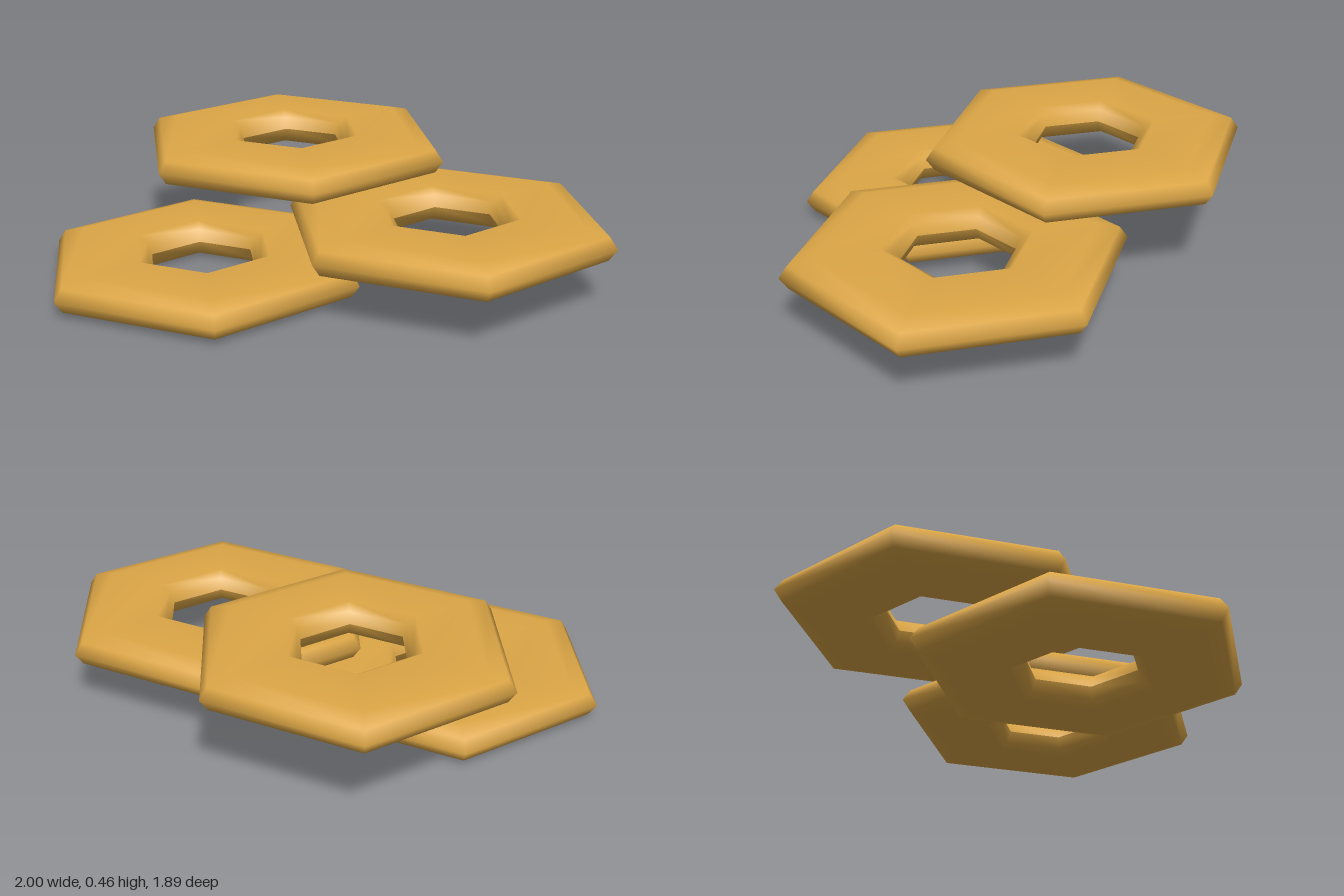
import * as THREE from 'three';

// Closed cross-section of one ring: [radius to the flat side, height]
const H = 0.068;
const upper = [[0.55, 0], [0.523, 0.045], [0.45, H], [0.24, H], [0.205, 0.045], [0.19, 0]];
const lower = upper.slice(1, -1).reverse().map(([r, y]) => [r, -y]);

function hexRingGeometry() {
  const toCorner = 1 / Math.cos(Math.PI / 6);
  const loop = [upper[5], ...lower, ...upper];
  return new THREE.LatheGeometry(loop.map(([r, y]) => new THREE.Vector2(r * toCorner, y)), 6);
}

export function createModel() {
  const model = new THREE.Group();
  model.name = 'stackedHexRings';
  const amber = new THREE.MeshStandardMaterial({ color: 0xdca646 });
  amber.name = 'amber';
  const geometry = hexRingGeometry();

  // Three identical rings, overlapping at rising heights
  const rings = [
    ['lowerRing', -0.45, H, 0.115],
    ['middleRing', 0.45, 0.238, 0.308],
    ['upperRing', -0.053, 0.391, -0.313],
  ];
  for (const [name, x, y, z] of rings) {
    const ring = new THREE.Mesh(geometry, amber);
    ring.name = name;
    ring.position.set(x, y, z);
    model.add(ring);
  }
  return model;
}
